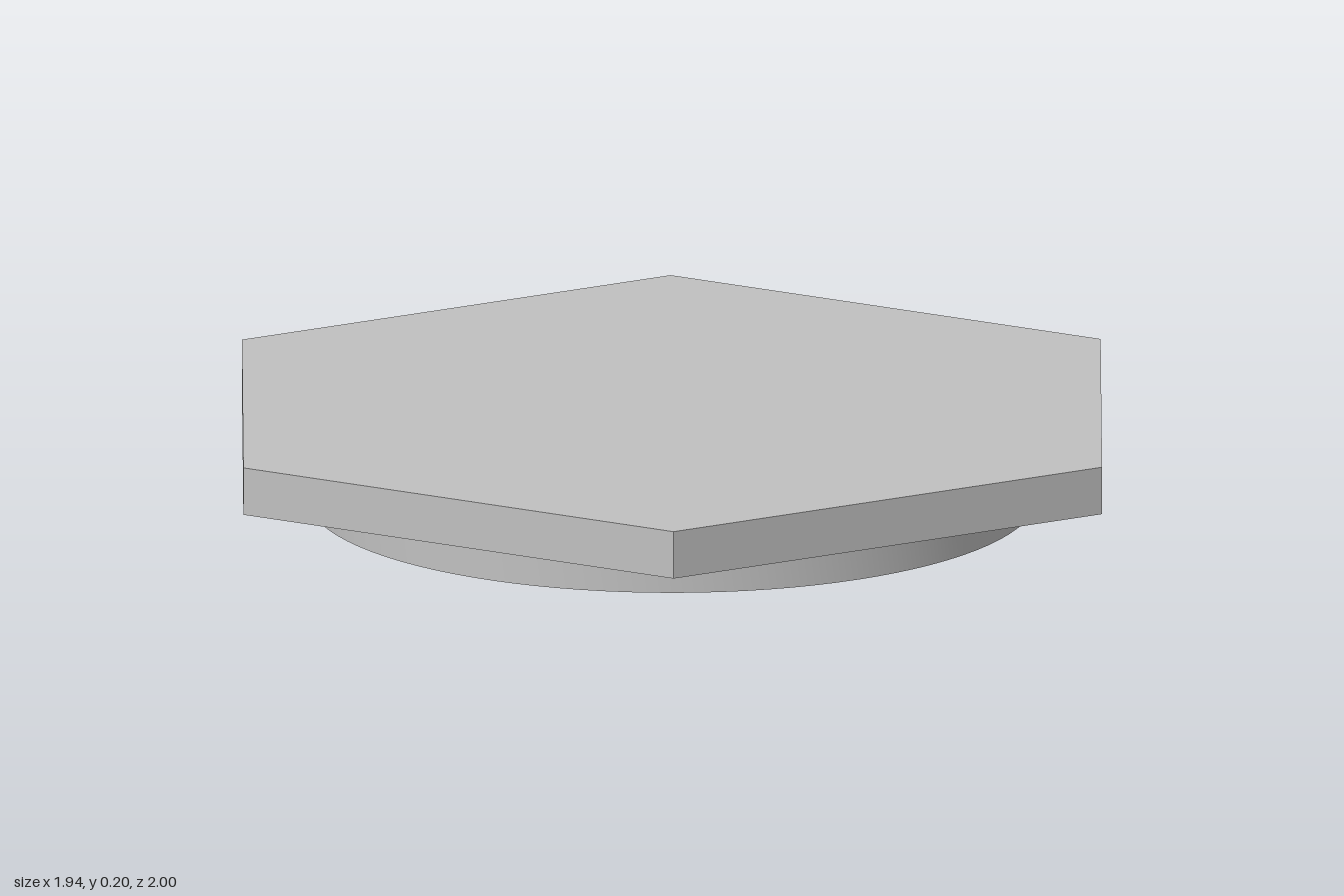
import * as THREE from 'three';
import { toCreasedNormals } from 'three/addons/utils/BufferGeometryUtils.js';

const RIM_HEIGHT = 0.103;
const PLATE_HEIGHT = 0.1;

export function createModel() {
  const model = new THREE.Group();
  model.name = 'hexagonalCover';
  const grey = new THREE.MeshStandardMaterial({ color: 0xc0c0c0 });
  grey.name = 'grey';

  function addPart(name, geometry, y = 0) {
    const mesh = new THREE.Mesh(toCreasedNormals(geometry, Math.PI / 6), grey);
    mesh.name = name;
    mesh.position.y = y;
    model.add(mesh);
  }

  // Hexagonal plate, turned slightly about the vertical axis
  const turn = THREE.MathUtils.degToRad(-11.6);
  addPart('hexPlate',
    new THREE.CylinderGeometry(1.021, 1.021, PLATE_HEIGHT, 6, 1, false, turn),
    RIM_HEIGHT + PLATE_HEIGHT / 2);

  // Round rims hanging below the plate: inner wall, bottom edge, outer wall
  function addRim(name, inner, outer) {
    const profile = [[inner, RIM_HEIGHT], [inner, 0], [outer, 0], [outer, RIM_HEIGHT]]
      .map(([r, y]) => new THREE.Vector2(r, y));
    addPart(name, new THREE.LatheGeometry(profile, 96));
  }
  addRim('outerRim', 0.667, 0.75);
  addRim('innerRim', 0.234, 0.317);

  return model;
}
